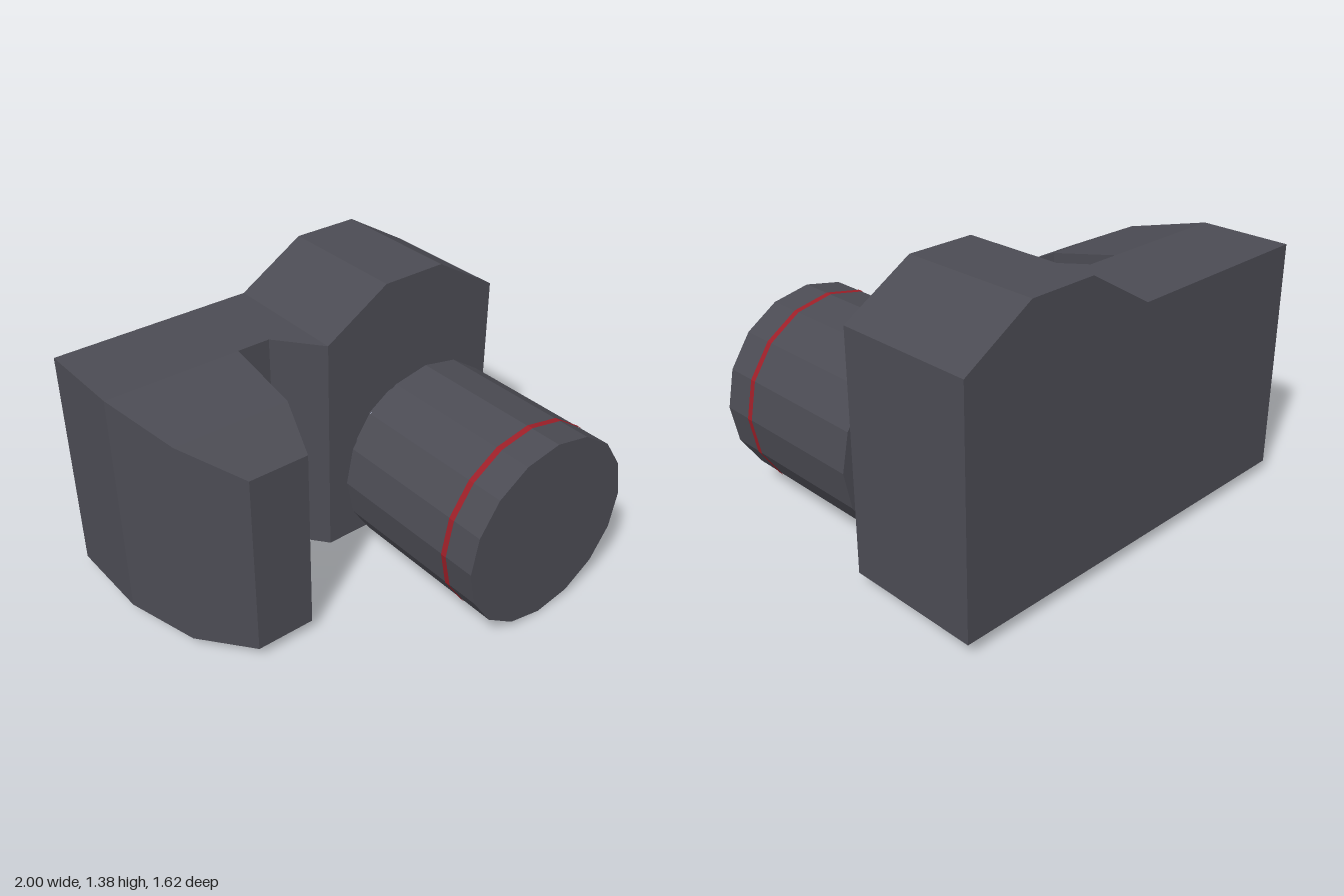
import * as THREE from 'three';

const material = (name, color, extra = {}) => {
  const m = new THREE.MeshStandardMaterial({ color, flatShading: true, ...extra });
  m.name = name;
  return m;
};

// Prism between z0 and z1 from a front outline
function prism(points, depth) {
  const shape = new THREE.Shape(points.map(([x, y]) => new THREE.Vector2(x, y)));
  return new THREE.ExtrudeGeometry(shape, { depth, bevelEnabled: false });
}

// Cylinder or arc along z, sixteen sides to a full turn; angles in sixteenths
function drum(radius, z0, z1, open = false, start = 0, count = 16) {
  const step = Math.PI / 8;
  return new THREE.CylinderGeometry(radius, radius, z1 - z0, count, 1, open, start * step, count * step)
    .rotateX(Math.PI / 2)
    .translate(0.4975, 0.48, (z0 + z1) / 2);
}

// Loft through rectangular sections listed from back to front
function loft(sections, bottom) {
  const rings = sections.map(({ z, left, right, top }) => [
    [left, bottom, z], [right, bottom, z], [right, top, z], [left, top, z],
  ]);
  const pos = [];
  const quad = (a, b, c, d) => pos.push(...a, ...b, ...c, ...a, ...c, ...d);
  for (let k = 0; k < rings.length - 1; k++) {
    const a = rings[k], b = rings[k + 1];
    for (let i = 0; i < 4; i++) {
      const j = (i + 1) % 4;
      quad(a[i], a[j], b[j], b[i]);
    }
  }
  quad(...rings[rings.length - 1]);
  quad(...[...rings[0]].reverse());
  const g = new THREE.BufferGeometry();
  g.setAttribute('position', new THREE.Float32BufferAttribute(pos, 3));
  g.computeVertexNormals();
  return g;
}

export function createModel() {
  const group = new THREE.Group();
  const dark = material('darkBody', 0x4b4b53);
  const darkThin = dark;
  const red = material('redStripe', 0x9c1f28);
  const metal = material('paleMetal', 0xbcc5de);
  const add = (name, geometry, mat) => {
    const mesh = new THREE.Mesh(geometry, mat);
    mesh.name = name;
    group.add(mesh);
  };
  const bottom = 0.06, shoulder = 1.185, back = -0.81, front = -0.145;

  // Side of the body behind the grip, with the angled step toward the lens
  const side = prism([[-1, 0.36], [-0.17, 0.36], [0, -front], [0, -back], [-1, -back]], shoulder - bottom);
  add('bodySide', side.rotateX(-Math.PI / 2).translate(0, bottom, 0), dark);

  // Lens side of the body with the viewfinder hump
  const hump = prism([[0, bottom], [1, bottom], [1, shoulder], [0.665, 1.387], [0.335, 1.387], [0, shoulder]], front - back);
  add('bodyWithHump', hump.translate(0, 0, back), dark);

  // Tapered hand grip
  add('grip', loft([
    { z: -0.36, left: -1, right: -0.335, top: shoulder },
    { z: 0.005, left: -0.9, right: -0.335, top: 1.105 },
    { z: 0.247, left: -0.705, right: -0.41, top: 0.988 },
  ], bottom), dark);

  // Lens mount: dark underneath, pale metal above
  add('mountLower', drum(0.358, front, -0.04, true, 10, 10), dark);
  add('mountUpper', drum(0.358, front, -0.04, true, 4, 6), metal);

  // Dark tapered patch on top of the mount
  const patch = drum(0.362, front, -0.075, true, 6, 4);
  const p = patch.attributes.position;
  for (const i of [0, 4]) p.setZ(i, front + 0.005);
  add('mountPatch', patch, darkThin);

  // Lens barrel and its thin stripe
  add('lensBarrel', drum(0.475, -0.04, 0.81), dark);
  add('lensStripe', drum(0.478, 0.624, 0.654, true), red);

  return group;
}
